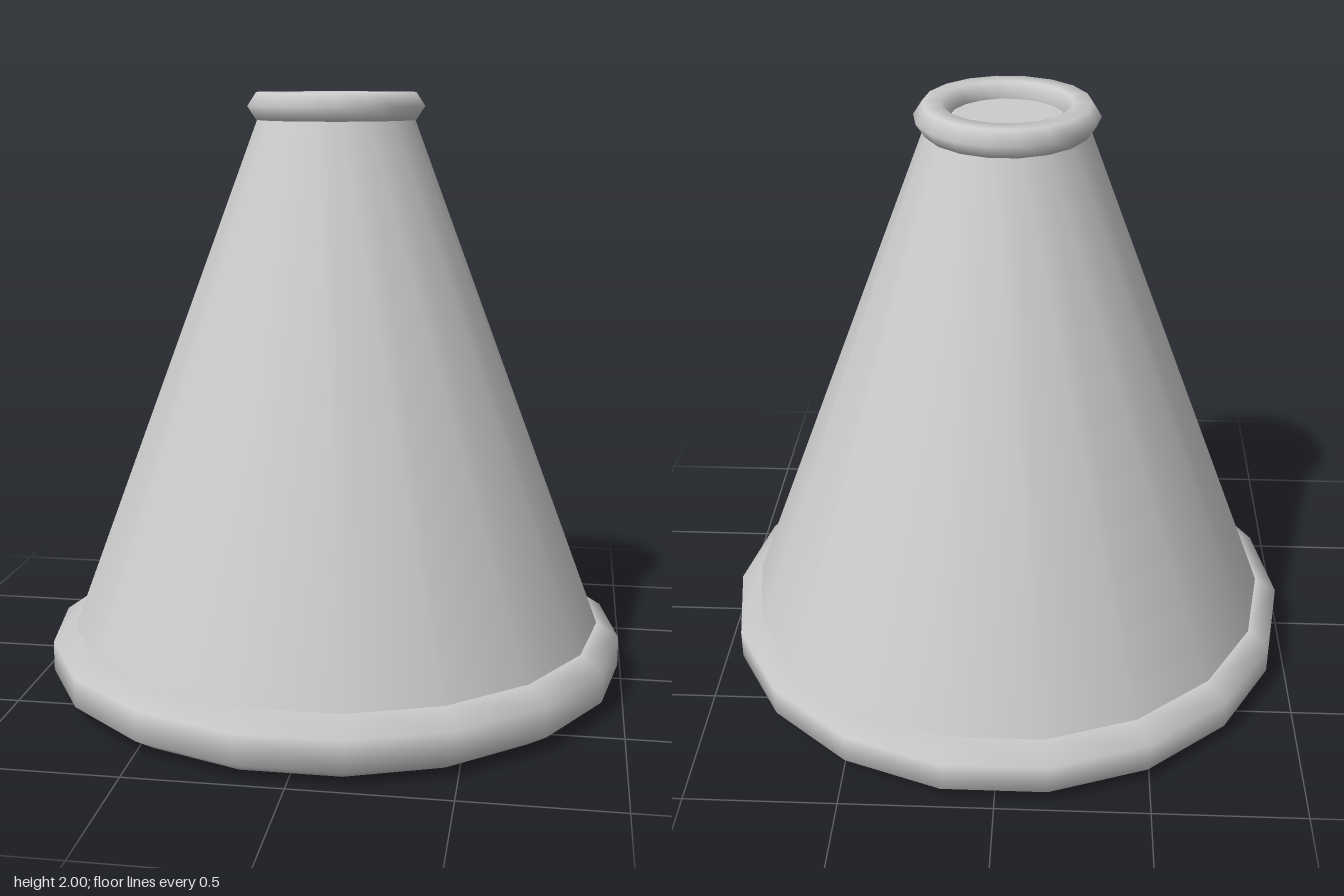
import * as THREE from 'three';

const SIDES = 18;

export function createModel() {
  const group = new THREE.Group();
  const grey = new THREE.MeshStandardMaterial({ color: 0xcccccc, side: THREE.DoubleSide });
  grey.name = 'light grey';

  // Revolve a [radius, height] profile, with a corner on the x axis
  const revolve = (name, profile) => {
    const points = profile.map(([r, y]) => new THREE.Vector2(r, y));
    const mesh = new THREE.Mesh(new THREE.LatheGeometry(points, SIDES, Math.PI / 2), grey);
    mesh.name = name;
    group.add(mesh);
  };

  // Hexagonal ring, closed at a hidden inner corner
  const ring = (name, radius, y, halfWidth, halfHeight, turn) => {
    const profile = [];
    for (let i = 0; i <= 6; i++) {
      const a = turn + (i * Math.PI) / 3;
      profile.push([radius + halfWidth * Math.cos(a), y + halfHeight * Math.sin(a)]);
    }
    revolve(name, profile);
  };

  // Open hollow body
  revolve('coneWall', [[0.948, 0.1], [0.25, 1.95]]);

  // Thick foot ring with upright outer face
  ring('baseRing', 0.91, 0.1, 0.089, 0.1, Math.PI * 5 / 6 - Math.PI * 2);

  // Small rim with a pointed outer edge
  ring('topRing', 0.238, 1.955, 0.059, 0.052, -Math.PI * 2 / 3);

  // Disc closing the mouth
  const cap = new THREE.Mesh(new THREE.CircleGeometry(0.24, SIDES), grey);
  cap.name = 'topCap';
  cap.rotation.x = -Math.PI / 2;
  cap.position.y = 1.95;
  group.add(cap);

  return group;
}
